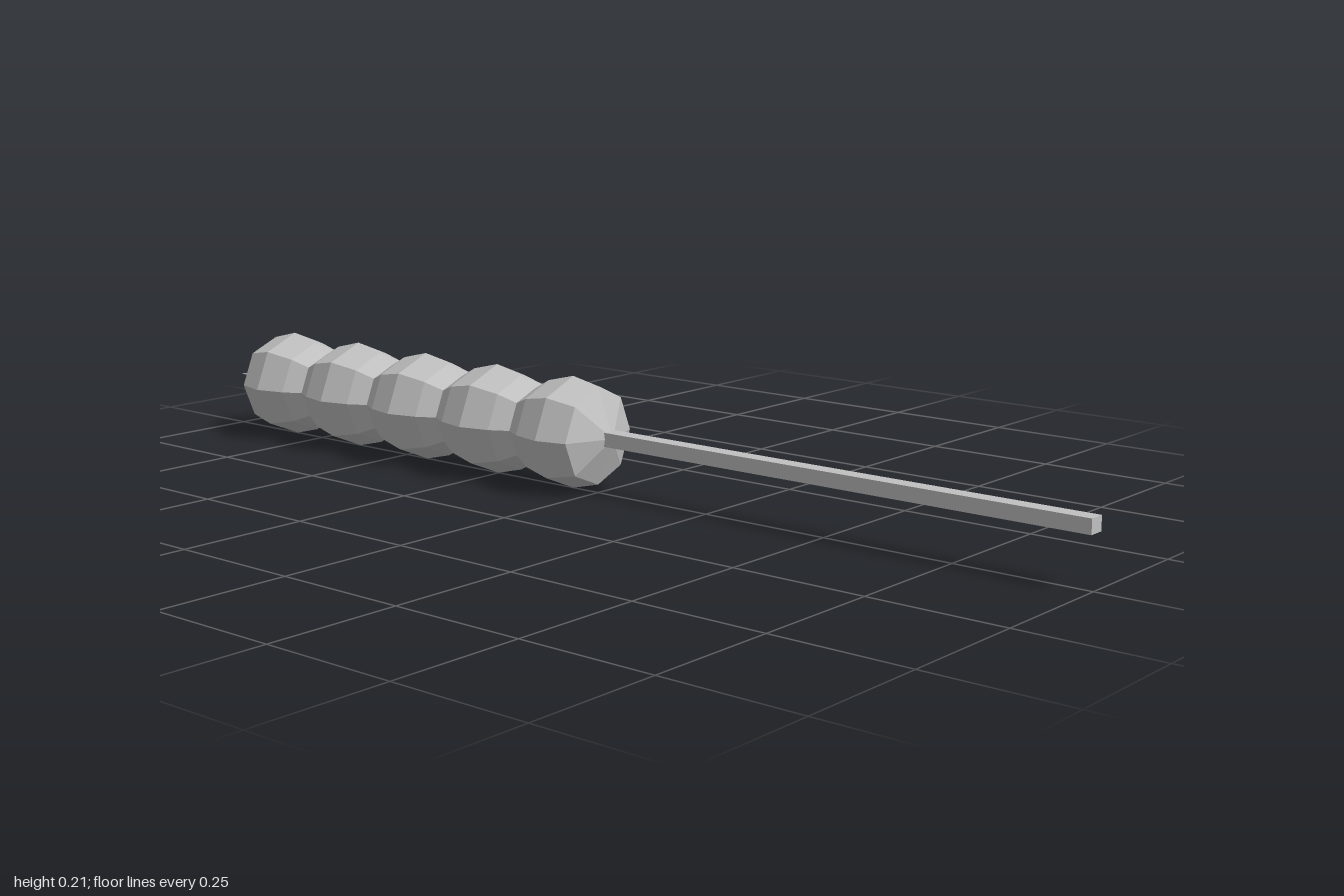
import * as THREE from 'three';

const AXIS_Y = 0.108;

// Faceted copy of a geometry, so every face keeps its own normal
function faceted(geometry) {
  const g = geometry.toNonIndexed();
  g.computeVertexNormals();
  return g;
}

export function createModel() {
  const model = new THREE.Group();
  model.name = 'skeweredBeads';
  const grey = new THREE.MeshStandardMaterial({ color: 0xc0c0c0 });
  grey.name = 'grey';

  function add(name, geometry, x) {
    const mesh = new THREE.Mesh(faceted(geometry), grey);
    mesh.name = name;
    mesh.position.set(x, AXIS_Y, 0);
    model.add(mesh);
    return mesh;
  }

  // Five joined eight-sided beads along the skewer, with shallow pointed end caps
  const count = 5, first = -0.826, step = 0.1915;
  const profile = [new THREE.Vector2(0, first - 0.096)];
  for (let i = 0; i < count; i++) {
    const c = first + i * step;
    profile.push(
      new THREE.Vector2(0.09, c - 0.06),
      new THREE.Vector2(0.105, c),
      new THREE.Vector2(0.09, c + 0.06)
    );
    // Narrow waist between neighbouring beads
    if (i < count - 1) profile.push(new THREE.Vector2(0.07, c + step / 2));
  }
  profile.push(new THREE.Vector2(0, first + (count - 1) * step + 0.096));
  const beads = new THREE.LatheGeometry(profile, 8);
  beads.rotateZ(-Math.PI / 2);
  add('beads', beads, 0);

  // Square stick used as the handle
  add('stick', new THREE.BoxGeometry(1.02, 0.026, 0.031), 0.49);

  // Four-sided sharpened tip
  const tip = new THREE.ConeGeometry(0.016, 0.11, 4);
  tip.rotateY(Math.PI / 4);
  tip.rotateZ(Math.PI / 2);
  add('tip', tip, -0.945);

  return model;
}
